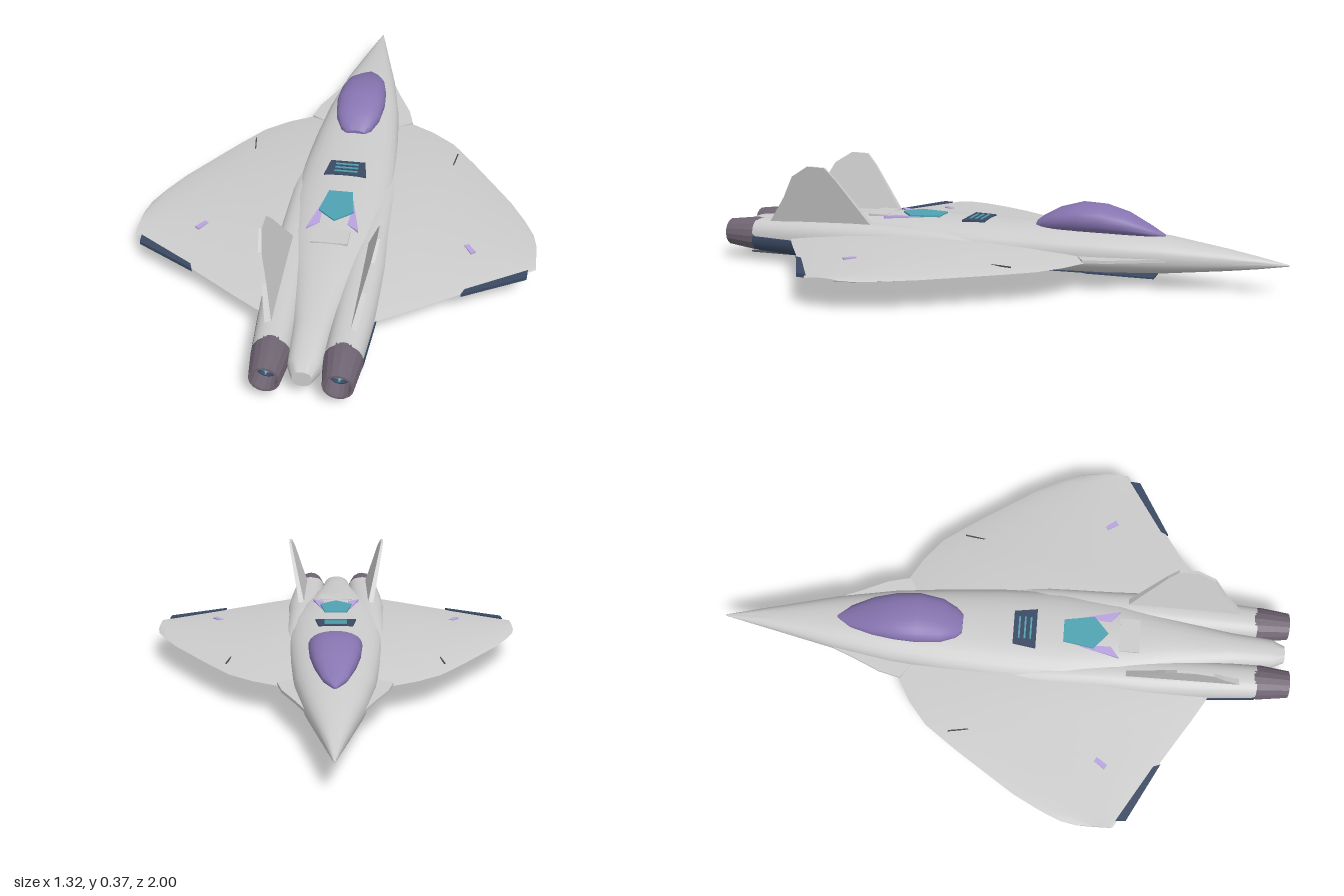
import * as THREE from 'three';
import { toCreasedNormals } from 'three/addons/utils/BufferGeometryUtils.js';

const mat = (color) => new THREE.MeshStandardMaterial({ color, side: THREE.DoubleSide });
const GREY = mat(0xcccccc), BLUE = mat(0x3b4a63), PURPLE = mat(0x8674b0), NOZZLE = mat(0x6f6472);
const TEAL = mat(0x4fa3b3), LILAC = mat(0xb9a3e0), DARK = mat(0x4a4d55);

function add(parent, name, geometry, material) {
  const mesh = new THREE.Mesh(geometry, material);
  mesh.name = name;
  parent.add(mesh);
  return mesh;
}

// Skin over a list of equal-length closed rings, with both ends capped
function loft(rings, crease = 0.6) {
  const n = rings[0].length, pos = rings.flat(2), idx = [];
  for (let i = 0; i < rings.length - 1; i++) {
    for (let j = 0; j < n; j++) {
      const a = i * n + j, b = i * n + (j + 1) % n;
      idx.push(a, b, a + n, b, b + n, a + n);
    }
  }
  const last = (rings.length - 1) * n;
  for (let j = 1; j < n - 1; j++) idx.push(0, j + 1, j, last, last + j, last + j + 1);
  const g = new THREE.BufferGeometry();
  g.setAttribute('position', new THREE.Float32BufferAttribute(pos, 3));
  g.setIndex(idx);
  return toCreasedNormals(g, crease);
}

// Rounded cross-section at z; maxSin below 1 cuts off the upper part
function section([z, cx, hw, top, bot], power = 2.4, maxSin = 1, n = 28) {
  const pow = (v) => Math.sign(v) * Math.abs(v) ** (2 / power);
  return Array.from({ length: n }, (_, j) => {
    const a = (j / n) * Math.PI * 2;
    const s = Math.min(pow(Math.sin(a)), maxSin);
    return [cx + hw * pow(Math.cos(a)), (top + bot) / 2 + (s * (top - bot)) / 2, z];
  });
}

// Flat panel from [x, z] corners, rising from y by h
function plate(points, y, h) {
  const shape = new THREE.Shape(points.map(([x, z]) => new THREE.Vector2(x, -z)));
  return new THREE.ExtrudeGeometry(shape, { depth: h, bevelEnabled: false }).rotateX(-Math.PI / 2).translate(0, y, 0);
}
const rect = (x, z, w, d) => [[x - w / 2, z - d / 2], [x + w / 2, z - d / 2], [x + w / 2, z + d / 2], [x - w / 2, z + d / 2]];

// Wing, lens-shaped in section: x, leading z, trailing z
function wingGeometry() {
  const stations = [
    [0.08, -0.43, 0.77], [0.19, -0.36, 0.715], [0.27, -0.315, 0.665], [0.35, -0.25, 0.612],
    [0.43, -0.14, 0.56], [0.5, -0.035, 0.515], [0.57, 0.07, 0.468], [0.62, 0.165, 0.436],
    [0.65, 0.235, 0.417], [0.66, 0.29, 0.41],
  ];
  return loft(stations.map(([x, le, te]) => {
    const t = 0.004 + 0.036 * Math.min(1, (0.66 - x) / 0.47);
    return Array.from({ length: 20 }, (_, j) => {
      const a = (j / 20) * Math.PI * 2, c = Math.cos(a);
      return [x, 0.1 + c * Math.abs(c) * t * (c > 0 ? 1 : 0.6) + c * 0.002, (le + te) / 2 + Math.sin(a) * (te - le) / 2];
    });
  }));
}

// Tail fin: upright outline, thinning and leaning outward with height
function finGeometry() {
  const outline = [[0.41, 0.14], [0.83, 0.14], [0.755, 0.245], [0.71, 0.325], [0.645, 0.365], [0.58, 0.363], [0.545, 0.325]];
  const shape = new THREE.Shape(outline.map(([z, y]) => new THREE.Vector2(z, y)));
  const g = new THREE.ExtrudeGeometry(shape, { depth: 1, bevelEnabled: false }).rotateY(-Math.PI / 2).translate(0.5, 0, 0);
  const p = g.attributes.position;
  for (let i = 0; i < p.count; i++) {
    const t = (p.getY(i) - 0.15) / 0.215;
    p.setX(i, 0.129 + 0.05 * t + p.getX(i) * (0.021 - 0.012 * t));
  }
  g.computeVertexNormals();
  return g;
}

function buildSide() {
  const side = new THREE.Group();
  add(side, 'wing', wingGeometry(), GREY);
  add(side, 'wingRootExtension', plate([[0.08, -0.64], [0.125, -0.53], [0.17, -0.43], [0.188, -0.355], [0.1, -0.3]], 0.1, 0.01), GREY);
  add(side, 'wingFlap', plate([[0.635, 0.42], [0.632, 0.455], [0.43, 0.565], [0.44, 0.54]], 0.094, 0.012), BLUE);
  add(side, 'tailFin', finGeometry(), GREY);

  // Engine body with intake mouth and dark lower cover
  const nacelle = [
    [-0.04, 0.14, 0.04, 0.13, 0.05], [0.15, 0.13, 0.053, 0.16, 0.036], [0.38, 0.122, 0.062, 0.167, 0.03],
    [0.5, 0.12, 0.068, 0.166, 0.03], [0.7, 0.115, 0.065, 0.16, 0.03], [0.885, 0.108, 0.058, 0.152, 0.038],
  ];
  add(side, 'engineNacelle', loft(nacelle.map((r) => section(r))), GREY);
  add(side, 'intakeMouth', new THREE.BoxGeometry(0.06, 0.045, 0.04).translate(0.152, 0.075, -0.03), BLUE);
  add(side, 'intakeLip', new THREE.BoxGeometry(0.028, 0.012, 0.07).translate(0.182, 0.125, -0.045), GREY);
  const cover = nacelle.slice(2).map(([z, x, w, t, b], i) => {
    const grow = i ? 0.003 : -0.003;
    return section([z, x, w + grow, t, b - grow], 2.4, [-0.75, -0.1, 0, 0.05][i]);
  });
  add(side, 'nacelleCover', loft(cover), BLUE);

  // Exhaust nozzle, hollow at the back
  const profile = [[0.059, 0.875], [0.06, 0.9], [0.047, 1], [0.04, 1], [0.036, 0.94], [0, 0.94]];
  const nozzle = new THREE.LatheGeometry(profile.map(([r, z]) => new THREE.Vector2(r, z)), 16);
  nozzle.rotateX(Math.PI / 2).translate(0.108, 0.095, 0);
  add(side, 'exhaustNozzle', toCreasedNormals(nozzle, 0.2), NOZZLE);
  add(side, 'exhaustRing', new THREE.TorusGeometry(0.03, 0.005, 6, 20).translate(0.108, 0.095, 0.95), BLUE);
  add(side, 'exhaustCore', new THREE.ConeGeometry(0.018, 0.04, 12).rotateX(Math.PI / 2).translate(0.108, 0.095, 0.96), TEAL);

  // Small panels on the back, wing and belly
  add(side, 'backAccent', plate([[0.052, 0.26], [0.085, 0.4], [0.045, 0.37]], 0.172, 0.014), LILAC);
  add(side, 'wingMarker', plate([[0.425, 0.345], [0.44, 0.337], [0.465, 0.372], [0.45, 0.382]], 0.11, 0.012), LILAC);
  add(side, 'wingSlot', plate([[0.367, -0.17], [0.371, -0.17], [0.355, -0.07], [0.351, -0.07]], 0.112, 0.004), DARK);
  add(side, 'wingSlot', plate([[0.53, 0.29], [0.534, 0.289], [0.556, 0.34], [0.552, 0.342]], 0.106, 0.005), DARK);
  add(side, 'gearDoor', plate([[0.035, 0.2], [0.15, 0.17], [0.16, 0.33], [0.06, 0.38]], 0.018, 0.006), BLUE);
  add(side, 'gearDoorPanel', plate(rect(0.1, 0.27, 0.05, 0.1), 0.016, 0.003), GREY);
  add(side, 'bellyRail', plate(rect(0.105, 0.65, 0.012, 0.54), 0.023, 0.005), DARK);
  return side;
}

export function createModel() {
  const model = new THREE.Group();
  model.name = 'jetAircraft';

  // Fuselage: z, half width, top, bottom
  const body = [
    [-1, 0.002, 0.102, 0.098], [-0.9, 0.025, 0.122, 0.082], [-0.8, 0.048, 0.139, 0.069], [-0.6, 0.095, 0.168, 0.048],
    [-0.4, 0.13, 0.18, 0.038], [-0.2, 0.15, 0.186, 0.034], [0, 0.165, 0.188, 0.03], [0.2, 0.17, 0.188, 0.028],
    [0.4, 0.15, 0.186, 0.03], [0.6, 0.1, 0.175, 0.035], [0.8, 0.062, 0.155, 0.045], [0.94, 0.05, 0.14, 0.055],
    [0.985, 0.03, 0.125, 0.07],
  ];
  add(model, 'fuselage', loft(body.map(([z, w, t, b]) => section([z, 0, w, t, b]))), GREY);

  const canopy = [
    [-0.59, 0.003, 0.175], [-0.54, 0.04, 0.2], [-0.46, 0.068, 0.241], [-0.38, 0.083, 0.263], [-0.3, 0.088, 0.266],
    [-0.22, 0.078, 0.243], [-0.17, 0.055, 0.215], [-0.148, 0.035, 0.198],
  ];
  add(model, 'canopy', loft(canopy.map(([z, w, t]) => section([z, 0, w, t, 0.165], 2.3))), PURPLE);

  // Vent and panels along the back
  add(model, 'backVent', plate([[-0.06, 0.03], [0.06, 0.03], [0.072, 0.11], [-0.072, 0.11]], 0.18, 0.01), BLUE);
  for (let i = 0; i < 3; i++) add(model, 'ventSlat', plate(rect(0, 0.05 + i * 0.02, 0.08, 0.006), 0.188, 0.005), TEAL);
  add(model, 'backPanel', plate([[-0.04, 0.205], [0.04, 0.205], [0.058, 0.31], [0, 0.36], [-0.058, 0.31]], 0.18, 0.012), TEAL);
  add(model, 'rearPanel', plate(rect(0, 0.435, 0.12, 0.07), 0.176, 0.01), GREY);

  // Belly bay, door and sensor dome
  add(model, 'noseGearBay', plate([[-0.03, -0.33], [0.03, -0.33], [0.045, -0.05], [-0.045, -0.05]], 0.027, 0.012), BLUE);
  add(model, 'noseGearDoor', plate(rect(0, -0.44, 0.07, 0.24), 0.026, 0.006), BLUE);
  add(model, 'noseGearDoorPanel', plate(rect(0, -0.45, 0.04, 0.1), 0.024, 0.003), GREY);
  add(model, 'sensorDome', new THREE.SphereGeometry(1, 20, 12).scale(0.025, 0.022, 0.09).translate(0, 0.022, 0.235), BLUE);

  // Mirrored halves
  const left = buildSide(), right = buildSide();
  left.name = 'leftSide';
  right.name = 'rightSide';
  right.scale.x = -1;
  model.add(left, right);
  return model;
}
